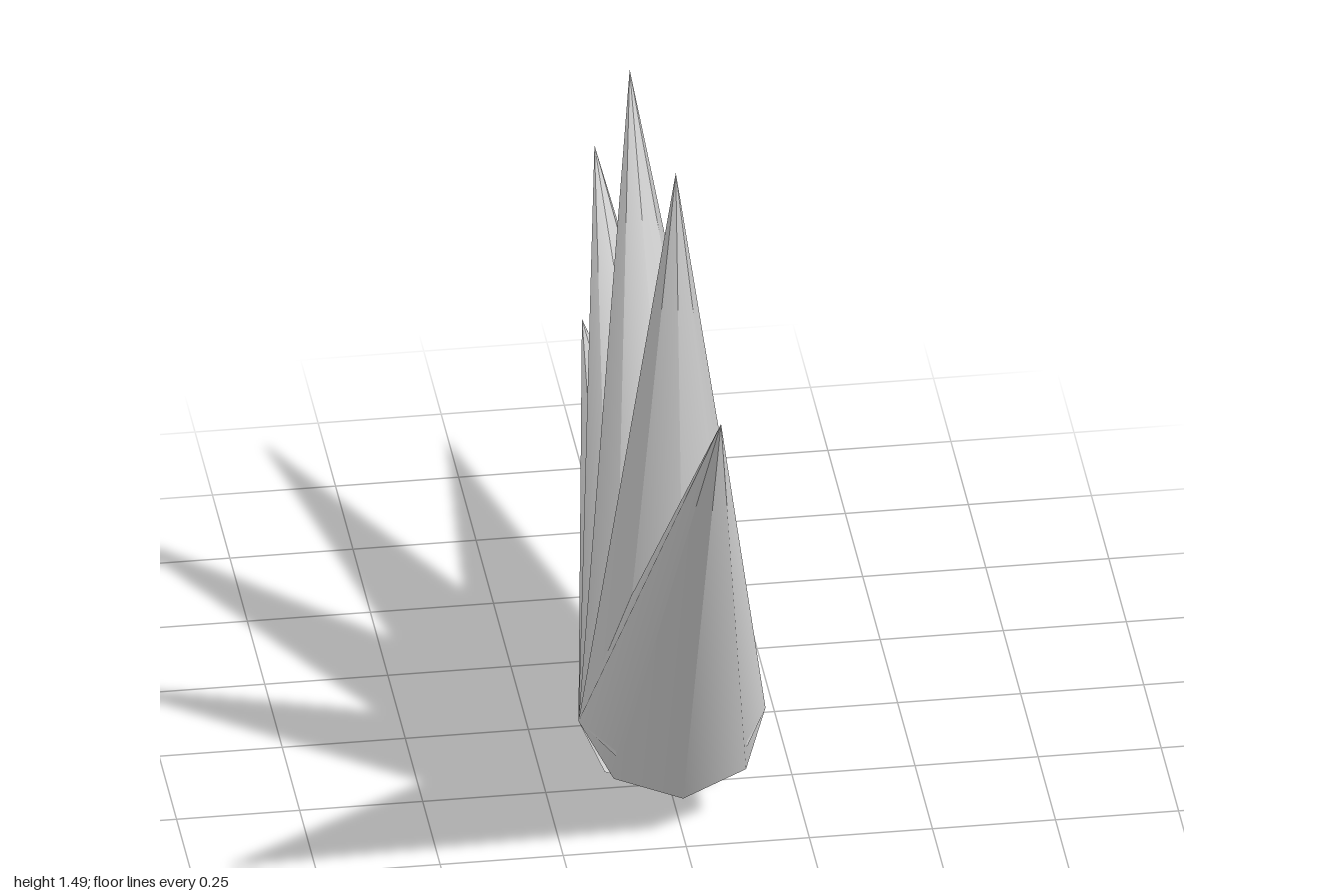
import * as THREE from 'three';

// A fan of five open, eight-sided spikes sharing one base centre
export function createModel() {
  const group = new THREE.Group();
  group.name = 'spikeFan';

  const radius = 0.19, height = 1.302;
  const material = new THREE.MeshStandardMaterial({ color: 0xcccccc, side: THREE.DoubleSide });

  // Open cone with its base centre at the origin
  const spike = new THREE.ConeGeometry(radius, height, 8, 1, true);
  spike.translate(0, height / 2, 0);

  // Lean of each spike in degrees, front (+z) to back (-z)
  const leans = [32.7, 2.4, -27.8, -58.7, -82.8];
  leans.forEach((lean, i) => {
    const mesh = new THREE.Mesh(spike, material);
    mesh.name = `spike${i + 1}`;
    mesh.rotation.x = THREE.MathUtils.degToRad(lean);
    mesh.position.set(0, 0.19, 0.295);
    group.add(mesh);
  });

  return group;
}
